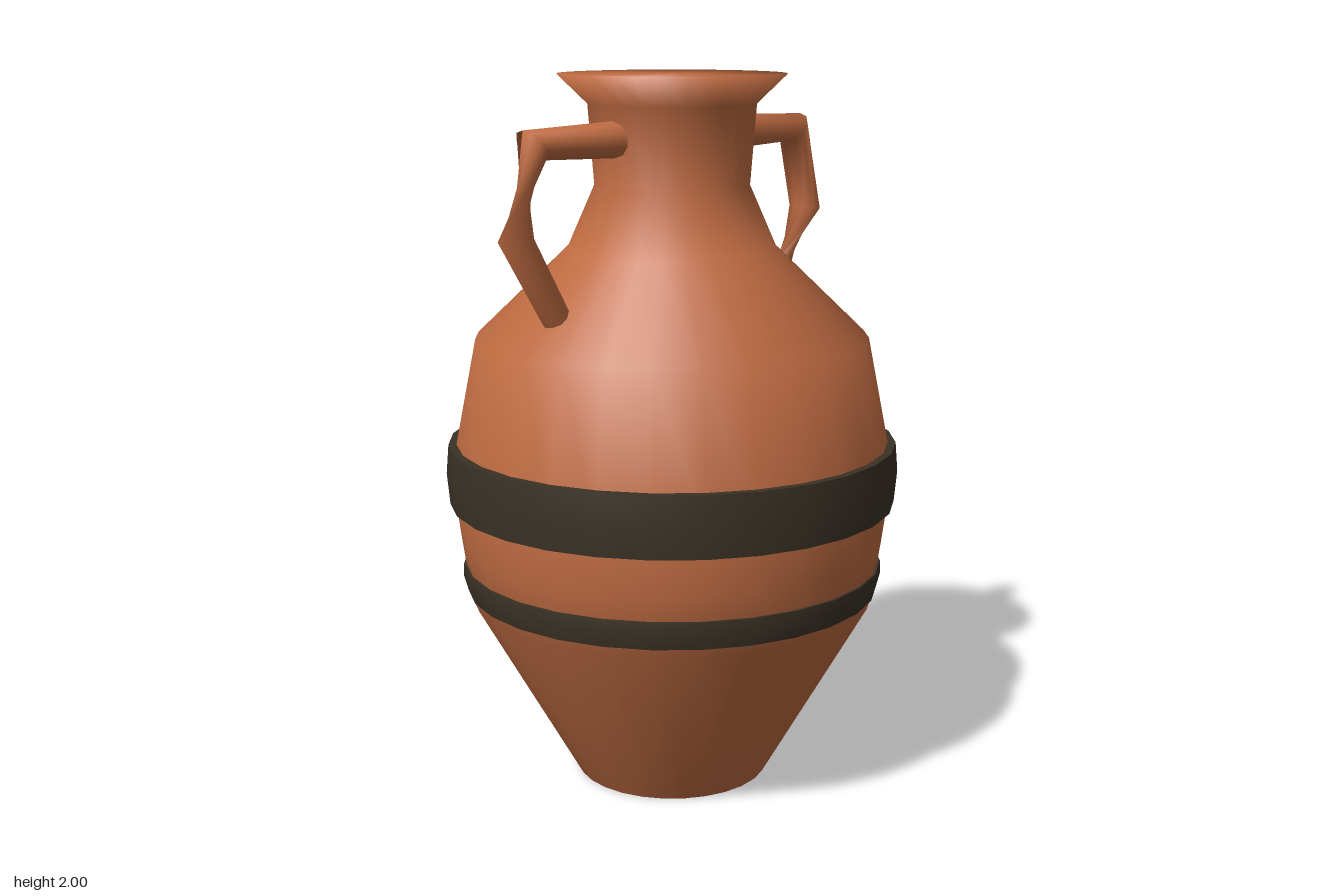
import * as THREE from 'three';
import { toCreasedNormals } from 'three/addons/utils/BufferGeometryUtils.js';

const SIDES = 28;
const clay = new THREE.MeshStandardMaterial({ name: 'terracotta', color: 0xc06c42 });
const slip = new THREE.MeshStandardMaterial({ name: 'darkSlip', color: 0x3a3226 });

const lathe = (profile) =>
  new THREE.LatheGeometry(profile.map(([r, y]) => new THREE.Vector2(r, y)), SIDES);

function part(name, geometry, material) {
  const mesh = new THREE.Mesh(geometry, material);
  mesh.name = name;
  return mesh;
}

// Closed vessel from foot to flared rim, shaded softly over the foot and mouth edges
function bodyGeometry() {
  const profile = [
    [0, 0], [0.275, 0], [0.575, 0.53], [0.6, 0.7], [0.626, 0.9], [0.55, 1.28],
    [0.29, 1.53], [0.215, 1.7], [0.232, 1.92], [0.315, 2], [0, 2],
  ];
  const geometry = lathe(profile);
  const normal = geometry.attributes.normal;
  const n = profile.length;
  for (let i = 0; i <= SIDES; i++) {
    const a = (i / SIDES) * Math.PI * 2;
    const set = (j, out, up) => normal.setXYZ(i * n + j, Math.sin(a) * out, up, Math.cos(a) * out);
    set(0, 0, -0.53);
    set(1, 0.85, -0.53);
    set(n - 2, 0.85, 0.53);
    set(n - 1, 0, 0.53);
  }
  return geometry;
}

// Bent tube through a few rings; each ring may be turned about the path
function handleGeometry(side, turns) {
  const K = 10;
  const path = [[0.19, 1.832], [0.515, 1.832], [0.575, 1.595], [0.44, 1.378]]
    .map(([x, y]) => new THREE.Vector3(side * x, y, 0));
  const radii = [0.05, 0.05, 0.047, 0.04];
  const positions = [];
  const index = [];
  const last = path.length - 1;
  const direction = (i) => path[i + 1].clone().sub(path[i]).normalize();

  const ring = (i) => {
    const t = direction(Math.min(i, last - 1)).add(direction(Math.max(i - 1, 0))).normalize();
    for (let k = 0; k < K; k++) {
      const a = (k / K) * Math.PI * 2 + turns[i];
      const c = Math.cos(a) * radii[i];
      positions.push(path[i].x - t.y * c, path[i].y + t.x * c, Math.sin(a) * radii[i]);
    }
  };
  path.forEach((_, i) => ring(i));
  for (let i = 0; i < last; i++) {
    for (let k = 0; k < K; k++) {
      const a = i * K + k;
      const b = i * K + ((k + 1) % K);
      index.push(a, b, b + K, a, b + K, a + K);
    }
  }
  // End caps
  ring(0);
  ring(last);
  const start = (last + 1) * K;
  for (let k = 1; k < K - 1; k++) {
    index.push(start, start + k + 1, start + k);
    index.push(start + K, start + K + k, start + K + k + 1);
  }
  const geometry = new THREE.BufferGeometry();
  geometry.setAttribute('position', new THREE.Float32BufferAttribute(positions, 3));
  geometry.setIndex(index);
  geometry.computeVertexNormals();
  return geometry;
}

export function createModel() {
  const group = new THREE.Group();
  group.name = 'amphora';
  group.add(part('body', bodyGeometry(), clay));

  // Painted bands, slightly proud of the belly
  const bands = {
    wideBand: [[0.6, 0.812], [0.631, 0.812], [0.639, 0.9], [0.632, 0.982], [0.59, 0.982]],
    narrowBand: [[0.56, 0.556], [0.587, 0.556], [0.599, 0.6], [0.597, 0.634], [0.57, 0.634]],
  };
  for (const [name, profile] of Object.entries(bands)) {
    group.add(part(name, toCreasedNormals(lathe(profile), 0.7), slip));
  }

  // Handles, each with a wrung section: low on the left, high on the right
  const wring = (Math.PI * 2) / 3;
  group.add(part('leftHandle', handleGeometry(1, [0, 0, 0, wring]), clay));
  group.add(part('rightHandle', handleGeometry(-1, [0, 0, wring, wring]), clay));
  return group;
}
